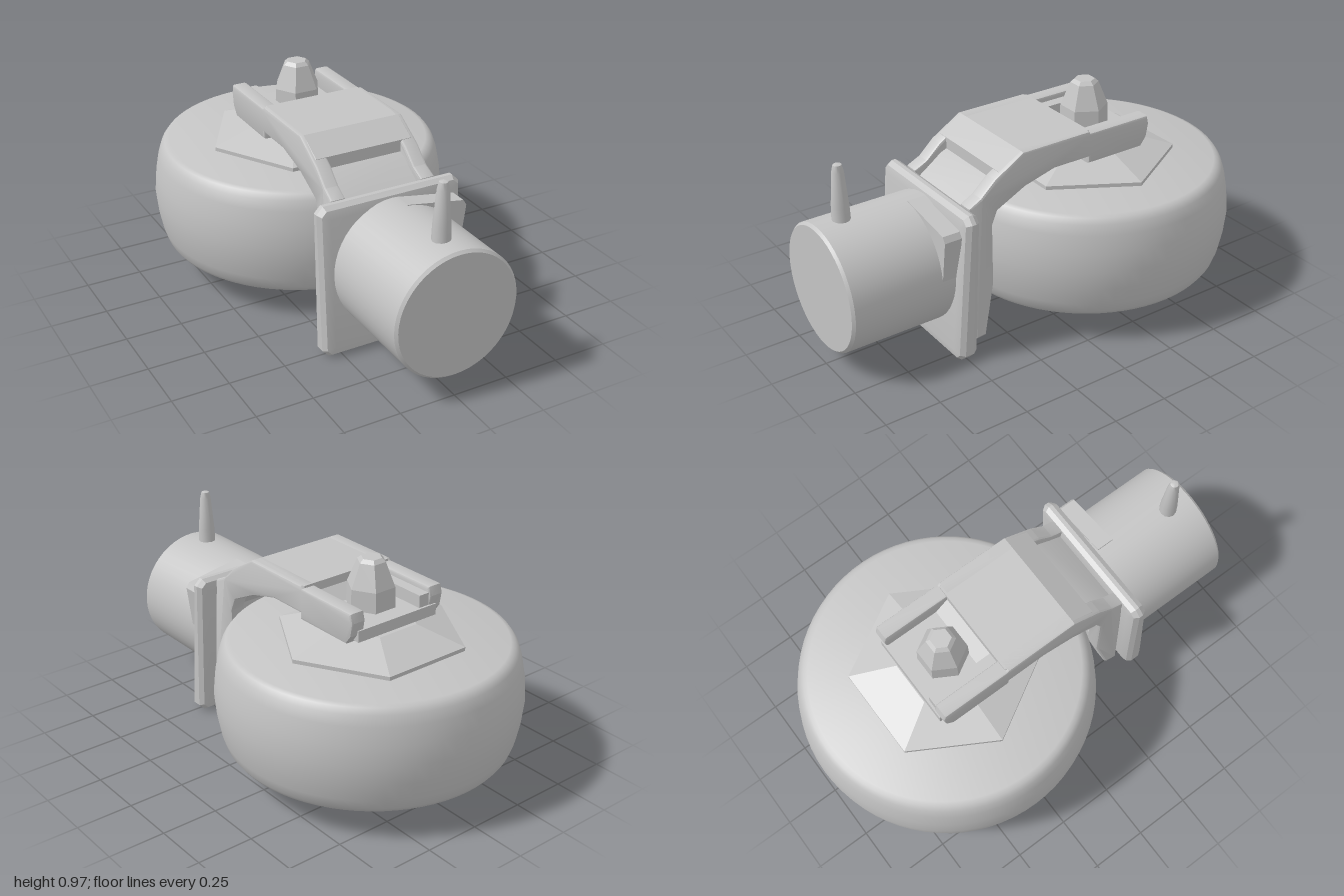
import * as THREE from 'three';
import { toCreasedNormals } from 'three/addons/utils/BufferGeometryUtils.js';

const AXLE_Z = -0.34;

export function createModel() {
  const root = new THREE.Group();
  root.name = 'casterWheel';
  const grey = new THREE.MeshStandardMaterial({ color: 0xc4c4c4 });
  grey.name = 'plainGrey';

  const add = (name, geo, x = 0, y = 0, z = 0, crease = 0.5) => {
    const mesh = new THREE.Mesh(toCreasedNormals(geo, crease), grey);
    mesh.name = name;
    mesh.position.set(x, y, z);
    root.add(mesh);
    return mesh;
  };
  const vecs = (pts) => pts.map(([a, b]) => new THREE.Vector2(a, b));
  const lathe = (pts, sides) => new THREE.LatheGeometry(vecs(pts), sides);
  // Side outline given as [z, y], extruded across x and centred
  const sideExtrude = (pts, width, bevel = 0.01) => {
    const g = new THREE.ExtrudeGeometry(new THREE.Shape(vecs(pts)), {
      depth: width - 2 * bevel, bevelEnabled: bevel > 0, bevelSize: bevel,
      bevelThickness: bevel, bevelOffset: -bevel, bevelSegments: 2,
    });
    g.translate(0, 0, -(width / 2 - bevel));
    return g.rotateY(-Math.PI / 2);
  };

  // Tyre lying flat, axle vertical
  add('tyre', lathe([
    [0, 0.135], [0.585, 0.135], [0.605, 0.142], [0.622, 0.165], [0.637, 0.21],
    [0.652, 0.29], [0.66, 0.375], [0.652, 0.46], [0.637, 0.54],
    [0.622, 0.585], [0.605, 0.608], [0.585, 0.615], [0, 0.615],
  ], 72), 0, 0, AXLE_Z, 0.6);

  // Six-sided hub caps, corners pointing sideways
  const hexTop = lathe([[0.41, 0.6], [0.41, 0.632], [0.2, 0.7], [0, 0.7]], 6).rotateY(Math.PI / 2);
  add('upperHub', hexTop, 0, 0, AXLE_Z, 0.1);
  const hexBottom = lathe([[0, 0.04], [0.16, 0.04], [0.33, 0.085], [0.41, 0.13], [0.41, 0.15]], 6).rotateY(Math.PI / 2);
  add('lowerHub', hexBottom, 0, 0, AXLE_Z, 0.1);

  // Axle and tapered nut
  add('axle', new THREE.CylinderGeometry(0.08, 0.08, 0.1, 16), 0, 0.71, AXLE_Z);
  const nut = lathe([[0.11, 0.72], [0.105, 0.85], [0.062, 0.955], [0.045, 0.97], [0, 0.97]], 6).rotateY(Math.PI / 2);
  add('axleNut', nut, 0, 0, AXLE_Z, 0.1);

  // Bent side arms, flaring slightly toward the plate
  const armOutline = [
    [0.43, 0.05], [0.43, 0.67], [0.37, 0.7], [0.3, 0.765], [0.16, 0.85], [-0.18, 0.85],
    [-0.19, 0.84], [-0.5, 0.84], [-0.51, 0.8], [-0.5, 0.74], [-0.47, 0.7], [-0.18, 0.7], [-0.18, 0.73],
    [0.0, 0.73], [0.15, 0.69], [0.29, 0.62], [0.315, 0.56], [0.315, 0.28], [0.37, 0.05],
  ];
  for (const side of [-1, 1]) {
    const arm = sideExtrude(armOutline, 0.07);
    const p = arm.attributes.position;
    for (let i = 0; i < p.count; i++) {
      const flare = Math.max(0, p.getZ(i) - 0.3) * Math.max(0, 0.7 - p.getY(i)) * 0.5;
      p.setX(i, p.getX(i) + side * Math.min(flare, 0.03));
    }
    add(side > 0 ? 'leftArm' : 'rightArm', arm, side * 0.21, 0, 0, 0.4);
  }
  // Deck bridging the arms, with a pointed notch at its front edge
  add('forkDeck', sideExtrude([
    [-0.19, 0.85], [-0.19, 0.735], [0.0, 0.735], [0.15, 0.7], [0.27, 0.69],
    [0.27, 0.785], [0.16, 0.85],
  ], 0.46, 0.004), 0, 0, 0, 0.3);

  // Recessed panel down to the plate
  add('recessedPanel', sideExtrude([
    [0.2, 0.76], [0.3, 0.72], [0.42, 0.63], [0.43, 0.15], [0.38, 0.15],
    [0.35, 0.56], [0.3, 0.62], [0.18, 0.69],
  ], 0.4, 0.005), 0, 0, 0, 0.3);
  add('lowerCrossbar', new THREE.BoxGeometry(0.38, 0.09, 0.06), 0, 0.11, 0.405);

  // Tail floor carrying the nut, with its thicker inner rail
  add('tailFloor', new THREE.BoxGeometry(0.42, 0.05, 0.33), 0, 0.735, -0.345);
  add('innerRail', new THREE.BoxGeometry(0.06, 0.06, 0.31), -0.155, 0.785, -0.345);
  add('deckGusset', sideExtrude([[-0.18, 0.82], [-0.25, 0.76], [-0.18, 0.74]], 0.36, 0), 0, 0, 0, 0.1);

  // Chamfered mounting plate, a little thicker and further forward at the foot
  const c = 0.03, w = 0.335, lo = 0.005, hi = 0.68;
  const plateShape = new THREE.Shape(vecs([
    [-w + c, lo], [w - c, lo], [w, lo + c], [w, hi - c],
    [w - c, hi], [-w + c, hi], [-w, hi - c], [-w, lo + c],
  ]));
  const plate = new THREE.ExtrudeGeometry(plateShape, {
    depth: 0.03, bevelEnabled: true, bevelSize: 0.05, bevelThickness: 0.03, bevelOffset: -0.05, bevelSegments: 2,
  });
  const pp = plate.attributes.position;
  for (let i = 0; i < pp.count; i++) {
    const lean = (0.35 - pp.getY(i)) * (pp.getZ(i) > 0.015 ? 0.075 : 0.04);
    pp.setZ(i, pp.getZ(i) + lean);
  }
  add('mountingPlate', plate, 0, 0, 0.465, 0.4);

  // Cylindrical stem with softened front rim
  const stem = lathe([[0.281, 0.46], [0.281, 0.988], [0.27, 1.0], [0, 1.0]], 48).rotateX(Math.PI / 2);
  add('stem', stem, 0, 0.376, 0, 0.6);

  // Raised flap on the stem shoulder
  const flap = new THREE.ExtrudeGeometry(new THREE.Shape(vecs([
    [0.0, 0.6], [0.25, 0.4], [0.28, 0.4], [0.305, 0.59], [0.29, 0.615], [0.02, 0.66],
  ])), { depth: 0.08, bevelEnabled: false });
  add('shoulderFlap', flap, 0, 0, 0.505, 0.2);

  // Locking pin standing on the stem
  const pin = lathe([[0.04, 0.62], [0.037, 0.72], [0.025, 0.87], [0.018, 0.9], [0, 0.906]], 12);
  add('lockingPin', pin, -0.01, 0, 0.875, 0.7);

  return root;
}
